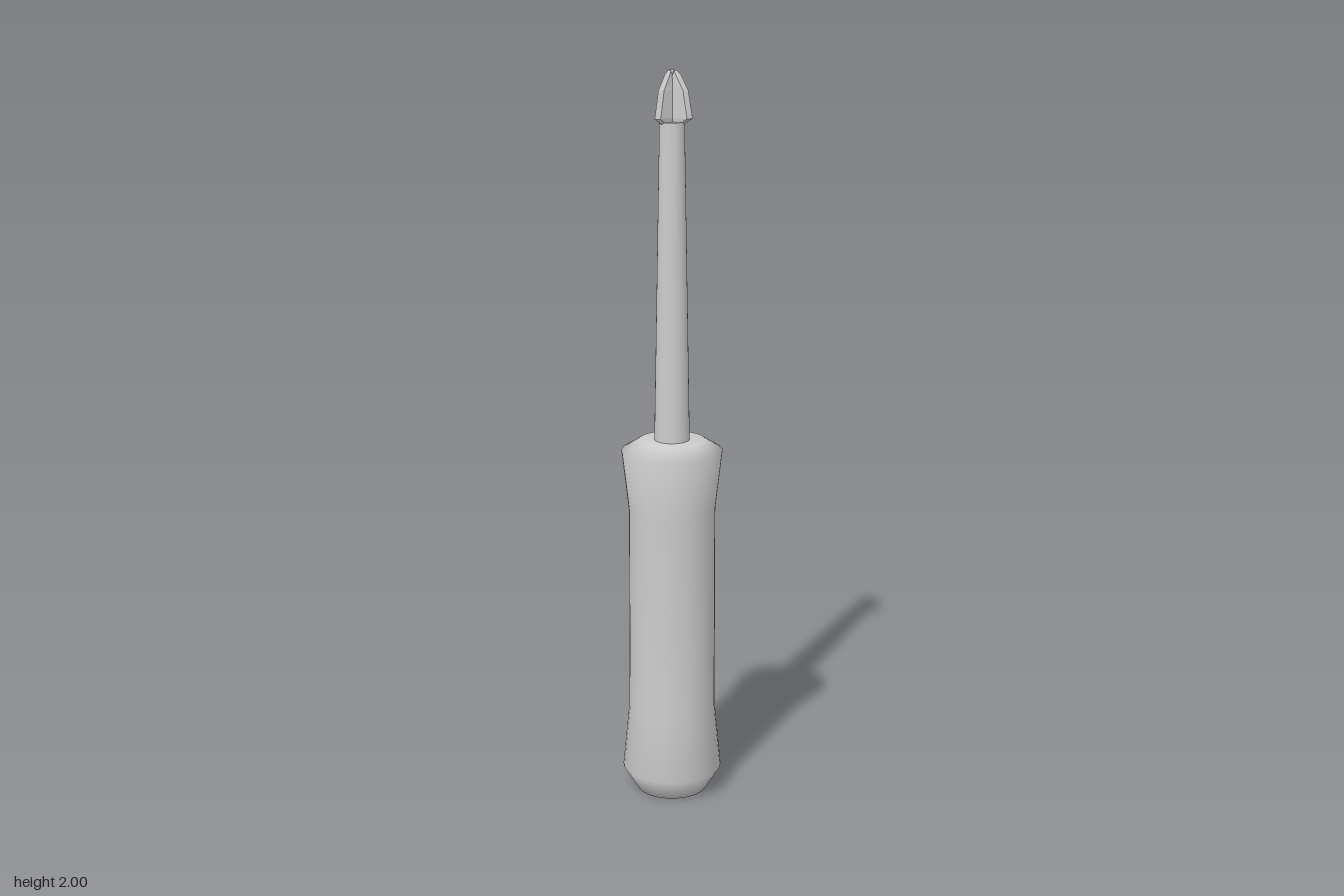
import * as THREE from 'three';

const grey = new THREE.MeshStandardMaterial({ color: 0xcccccc });
const greyFlat = new THREE.MeshStandardMaterial({ color: 0xcccccc, flatShading: true });

function lathe(name, points, segments) {
  const profile = points.map(([r, y]) => new THREE.Vector2(r, y));
  const mesh = new THREE.Mesh(new THREE.LatheGeometry(profile, segments), grey);
  mesh.name = name;
  return mesh;
}

// Wedge-edged fin lofted through horizontal five-sided sections:
// [height at axis, height at edge, reach, half width]
function finGeometry() {
  const levels = [
    [1.86, 1.86, 0.03, 0.008],
    [1.88, 1.878, 0.057, 0.011],
    [1.95, 1.95, 0.045, 0.01],
    [1.975, 1.988, 0.025, 0.008],
    [1.98, 2.0, 0.013, 0.006],
  ];
  const positions = [], index = [], n = 5;
  for (const [yAxis, yEdge, r, w] of levels) {
    const shoulder = Math.max(r - 0.011, 0.008);
    positions.push(0, yAxis, -w, shoulder, yEdge, -w, r, yEdge, 0, shoulder, yEdge, w, 0, yAxis, w);
  }
  for (let i = 0; i < levels.length - 1; i++) {
    for (let j = 0; j < n; j++) {
      const a = i * n + j, b = i * n + (j + 1) % n;
      index.push(a, a + n, b, b, a + n, b + n);
    }
  }
  const top = (levels.length - 1) * n;
  for (let j = 1; j < n - 1; j++) {
    index.push(0, j, j + 1, top, top + j + 1, top + j);
  }
  const geometry = new THREE.BufferGeometry();
  geometry.setAttribute('position', new THREE.Float32BufferAttribute(positions, 3));
  geometry.setIndex(index);
  geometry.computeVertexNormals();
  return geometry;
}

export function createModel() {
  const model = new THREE.Group();
  model.name = 'screwdriver';

  // Grip, flared at both ends
  model.add(lathe('handle', [
    [0, 0], [0.097, 0], [0.137, 0.065], [0.119, 0.25],
    [0.118, 0.82], [0.137, 0.985], [0.088, 1.015], [0, 1.015],
  ], 32));

  // Tapered shaft with a flat end (doubled point keeps the rim sharp)
  model.add(lathe('shaft', [
    [0.048, 1.0], [0.033, 1.868], [0.033, 1.868], [0, 1.868],
  ], 32));

  // Three-finned tip
  const tip = new THREE.Group();
  tip.name = 'tip';
  const geometry = finGeometry();
  for (let i = 0; i < 3; i++) {
    const fin = new THREE.Mesh(geometry, greyFlat);
    fin.name = 'tipFin' + (i + 1);
    fin.rotation.y = (i * Math.PI * 2) / 3;
    tip.add(fin);
  }
  model.add(tip);
  return model;
}
